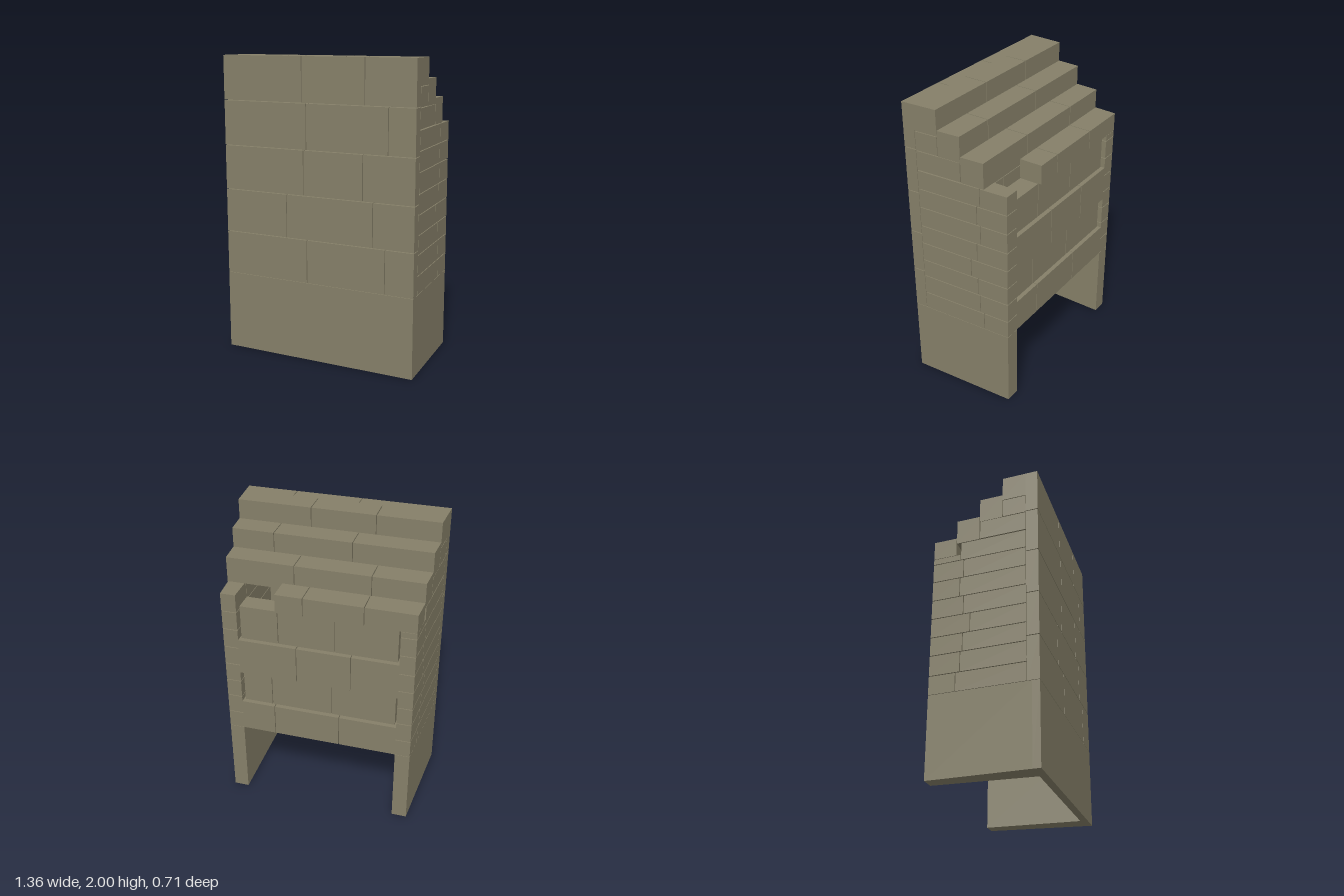
import * as THREE from 'three';

const EDGE = 1;      // stands for the tapered outer side of the wall
const INNER = 0.53;  // inner face of the side walls
const GAP = 0.0025;  // half of a joint
const halfWidth = (z) => 0.655 + 0.0704 * z;

export function createModel() {
  const group = new THREE.Group();
  group.name = 'steppedStoneWall';
  const stone = new THREE.MeshStandardMaterial({ color: 0x857f68 });
  stone.name = 'stone';

  // A block between two corners; x = ±EDGE follows the taper of the wall
  function block(name, x0, x1, y0, y1, z0, z1) {
    const geo = new THREE.BoxGeometry(1, 1, 1);
    const p = geo.attributes.position;
    for (let i = 0; i < p.count; i++) {
      const z = p.getZ(i) < 0 ? z0 : z1;
      const x = p.getX(i) < 0 ? x0 : x1;
      p.setXYZ(i, Math.abs(x) === EDGE ? Math.sign(x) * halfWidth(z) : x, p.getY(i) < 0 ? y0 : y1, z);
    }
    geo.computeVertexNormals();
    const mesh = new THREE.Mesh(geo, stone);
    mesh.name = name;
    group.add(mesh);
  }

  // A course of blocks along x, split at the given joints
  function course(name, x0, x1, joints, y0, y1, z0, z1) {
    const cuts = [x0, ...joints, x1];
    for (let i = 0; i < cuts.length - 1; i++) {
      const a = i === 0 ? cuts[i] : cuts[i] + GAP;
      const b = i === cuts.length - 2 ? cuts[i + 1] : cuts[i + 1] - GAP;
      block(name, a, b, y0 + GAP, y1 - GAP, z0, z1);
    }
  }

  // Plain base: a front slab and two side slabs, open at the back
  block('baseFront', -EDGE, EDGE, 0, 0.53, 0.305, 0.355);
  block('baseSide', INNER, EDGE, 0, 0.53, -0.355, 0.305);
  block('baseSide', -EDGE, -INNER, 0, 0.53, -0.355, 0.305);

  // Front face courses
  const frontY = [0.53, 0.822, 1.113, 1.41, 1.708, 2.0025];
  const frontJoints = [[-0.068, 0.485], [-0.217, 0.4], [-0.09, 0.33], [-0.068, 0.5], [-0.098, 0.342]];
  frontJoints.forEach((j, i) =>
    course('frontStone', -EDGE, EDGE, j, frontY[i], frontY[i + 1], 0.275, 0.355));

  // Side wall courses, two bricks each
  const sideY = [0.53, 0.655, 0.79, 0.915, 1.045, 1.175, 1.31, 1.44, 1.568];
  const sideJoints = [-0.18, -0.153, -0.14, -0.093, -0.14, -0.168, -0.145, -0.168];
  for (const s of [-1, 1]) {
    const [x0, x1] = s > 0 ? [INNER, EDGE] : [-EDGE, -INNER];
    sideJoints.forEach((z, i) => {
      const y0 = sideY[i] + GAP, y1 = sideY[i + 1] - GAP;
      block('sideBrick', x0, x1, y0, y1, z + GAP, 0.272);
      // the lowest step rests in place of the top rear brick on one side
      if (s < 0 && i === 7) block('sideBrick', x0, x1, y0, 1.48, -0.355, z - GAP);
      else block('sideBrick', x0, x1, y0, y1, -0.355, z - GAP);
    });
    block('sideBrick', x0, x1, 1.573, 1.70, -0.036, 0.272);
    block('sideBrick', x0, x1, 1.705, 1.828, 0.119, 0.272);
  }

  // Steps down towards the back
  course('step', -EDGE, EDGE, [-0.25, 0.175], 1.83, 2.0025, 0.117, 0.275);
  course('step', -EDGE, EDGE, [-0.14, 0.374], 1.70, 1.8725, -0.04, 0.115);
  course('step', -EDGE, EDGE, [-0.305, 0.192], 1.568, 1.7425, -0.198, -0.042);
  course('step', -EDGE, 0.27, [-0.3, 0.09], 1.48, 1.6125, -0.355, -0.2);

  // Rear wall between the sides: every other course is set back
  const rearY = [0.53, 0.755, 0.985, 1.24, 1.48];
  const rearJoints = [[-0.145, 0.3], [-0.09, 0.32], [-0.22, 0.14], [-0.11, 0.265]];
  rearJoints.forEach((j, i) => {
    const w = i % 2 ? 0.515 : INNER;
    course('rearStone', -w, w, j, rearY[i], rearY[i + 1], i % 2 ? -0.33 : -0.355, -0.2);
  });

  return group;
}
